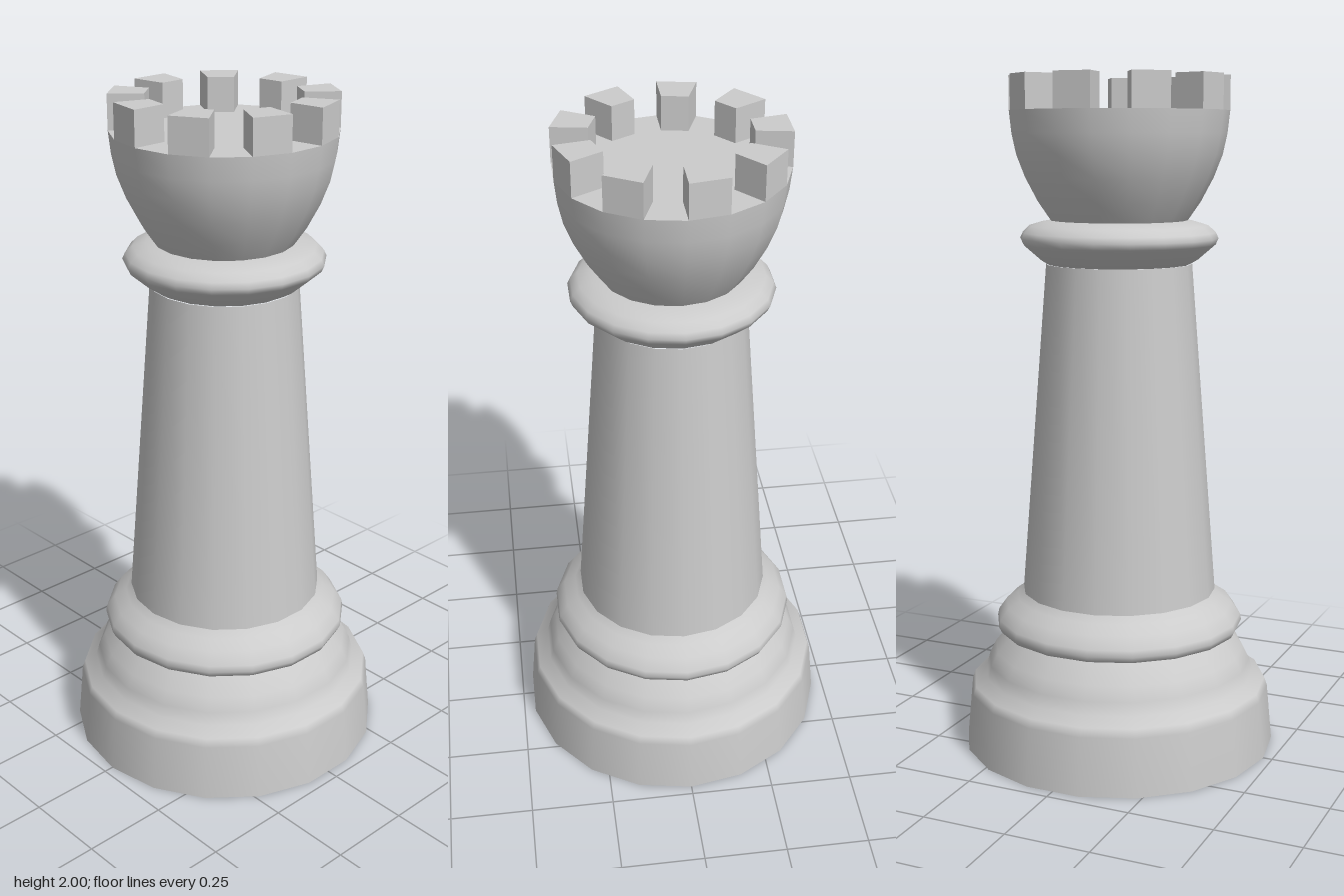
import * as THREE from 'three';

const SIDES = 18;
const STEP = (Math.PI * 2) / SIDES;
const HEAD_R = 0.32;
const FLOOR_Y = 1.9;

export function createModel() {
  const group = new THREE.Group();
  group.name = 'rook';
  const material = new THREE.MeshStandardMaterial({ color: 0xcccccc });

  const add = (name, geometry, y = 0) => {
    const mesh = new THREE.Mesh(geometry, material);
    mesh.name = name;
    mesh.position.y = y;
    group.add(mesh);
  };

  // Turned section, profile given bottom to top as [radius, height]
  const turned = (name, profile) =>
    add(name, new THREE.LatheGeometry(
      profile.map(([r, y]) => new THREE.Vector2(r, y)), SIDES, Math.PI / 2));

  // Flat cap facing up (1) or down (-1)
  const cap = (name, radius, y, facing) =>
    add(name, new THREE.CircleGeometry(radius, SIDES).rotateX(-facing * Math.PI / 2), y);

  // Body, split where the edges are sharp
  cap('underside', 0.472, 0, -1);
  turned('base', [[0.472, 0], [0.456, 0.17], [0.447, 0.195], [0.41, 0.217],
    [0.4, 0.255], [0.38, 0.295], [0.335, 0.349]]);
  turned('lowerCollar', [[0.325, 0.347], [0.365, 0.36], [0.374, 0.378], [0.37, 0.397],
    [0.345, 0.432], [0.31, 0.455], [0.292, 0.475]]);
  turned('column', [[0.292, 0.475], [0.215, 1.46]]);
  turned('upperCollar', [[0.21, 1.46], [0.232, 1.473], [0.283, 1.517], [0.291, 1.535],
    [0.283, 1.552], [0.262, 1.572], [0.225, 1.583], [0.2, 1.587]]);
  turned('head', [[0.2, 1.585], [0.238, 1.64], [0.275, 1.71], [0.3, 1.775],
    [0.313, 1.835], [HEAD_R, FLOOR_Y]]);
  cap('headFloor', HEAD_R, FLOOR_Y, 1);

  // Battlements: one on every second side of the head
  const inner = 0.218;
  const corner = (r, a) => new THREE.Vector2(r * Math.cos(a), r * Math.sin(a));
  const outline = new THREE.Shape([
    corner(inner, 0), corner(HEAD_R, 0), corner(HEAD_R, STEP), corner(inner, STEP),
  ]);
  for (let i = 0; i < SIDES / 2; i++) {
    const block = new THREE.ExtrudeGeometry(outline, { depth: 2 - FLOOR_Y, bevelEnabled: false });
    add('battlement', block.rotateX(-Math.PI / 2).rotateY(i * 2 * STEP), FLOOR_Y);
  }

  return group;
}
